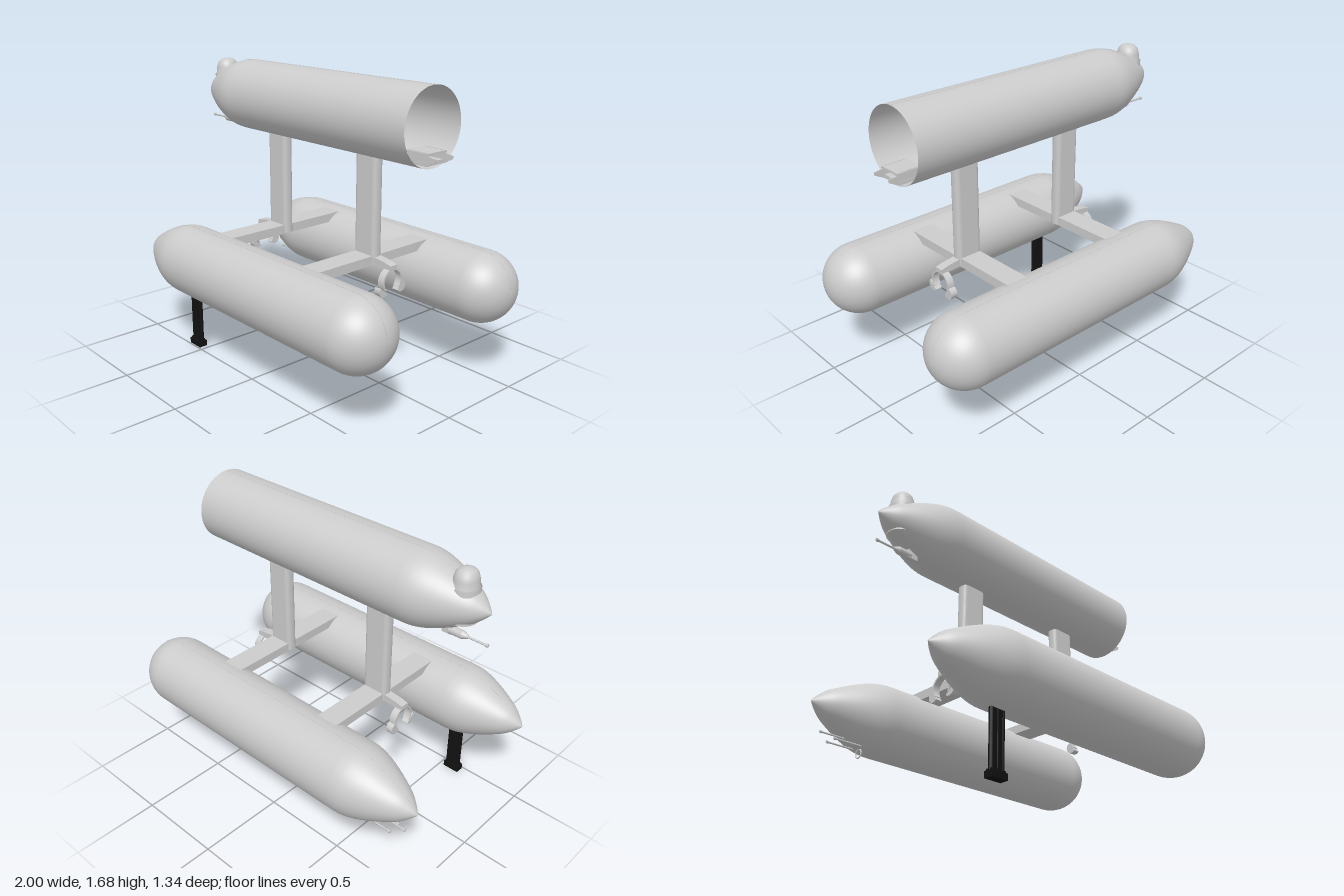
import * as THREE from 'three';

const GREY = new THREE.MeshStandardMaterial({ color: 0xcccccc, side: THREE.DoubleSide });
const BLACK = new THREE.MeshStandardMaterial({ color: 0x111111 });
const R = 0.203;
const LOW_Y = 0.542, TOP_Y = 1.473, SIDE_Z = 0.466;

function add(parent, name, geometry, x = 0, y = 0, z = 0, material = GREY) {
  const mesh = new THREE.Mesh(geometry, material);
  mesh.name = name;
  mesh.position.set(x, y, z);
  parent.add(mesh);
  return mesh;
}

// Cylinder lying along x; rBack is the radius at the -x end
function rod(rFront, rBack, length, sides = 16) {
  return new THREE.CylinderGeometry(rFront, rBack, length, sides).rotateZ(-Math.PI / 2);
}

// Hull outline as (radius, x): pointed nose, straight body, then a round or open tail
function hullProfile(openTail) {
  const nose = [[0, -1], [0.018, -0.985], [0.052, -0.95], [0.09, -0.9], [0.142, -0.8],
    [0.179, -0.71], [0.198, -0.64], [R, -0.58]].map(p => new THREE.Vector2(...p));
  const pts = new THREE.SplineCurve(nose).getPoints(28);
  pts[0].x = 0;
  if (openTail) {
    pts.push(new THREE.Vector2(R, 0.82));
  } else {
    for (let i = 0; i <= 16; i++) {
      const a = (i / 16) * Math.PI / 2;
      pts.push(new THREE.Vector2(Math.max(0, R * Math.cos(a)), 0.795 + 0.203 * Math.sin(a)));
    }
  }
  return pts;
}

function makeHull(name, y, z, openTail) {
  const hull = new THREE.Group();
  hull.name = name;
  hull.position.set(0, y, z);
  const pts = hullProfile(openTail);
  add(hull, 'hullShell', new THREE.LatheGeometry(pts, 64).rotateZ(-Math.PI / 2));
  // Fine seam along the crown
  const path = new THREE.CurvePath();
  for (let i = 1; i < pts.length; i++) {
    path.add(new THREE.LineCurve3(new THREE.Vector3(pts[i - 1].y, pts[i - 1].x, 0),
      new THREE.Vector3(pts[i].y, pts[i].x, 0)));
  }
  add(hull, 'hullSeam', new THREE.TubeGeometry(path, 90, 0.002, 5));
  return hull;
}

// Upright strut with rounded leading and trailing edges
function strutGeometry(length) {
  const a = 0.077, b = 0.032, r = 0.026;
  const s = new THREE.Shape();
  s.moveTo(-a + r, -b);
  s.lineTo(a - r, -b);
  s.quadraticCurveTo(a, -b, a, 0);
  s.quadraticCurveTo(a, b, a - r, b);
  s.lineTo(-a + r, b);
  s.quadraticCurveTo(-a, b, -a, 0);
  s.quadraticCurveTo(-a, -b, -a + r, -b);
  return new THREE.ExtrudeGeometry(s, { depth: length, bevelEnabled: false, curveSegments: 8 })
    .rotateX(-Math.PI / 2);
}

// Hanging clamp: tapered arm, open ring and two gripping pads
function makeClamp(x, dir) {
  const clamp = new THREE.Group();
  clamp.name = 'cargoClamp';
  clamp.position.x = x;
  const arm = new THREE.Shape([[-0.13, 0.735], [-0.13, 0.69], [-0.02, 0.685], [0.025, 0.685],
    [0.025, 0.712], [-0.02, 0.722]].map(([u, v]) => new THREE.Vector2(u * dir, v)));
  add(clamp, 'clampArm', new THREE.ExtrudeGeometry(arm, { depth: 0.05, bevelEnabled: false }), 0, 0, -0.025);
  const ring = new THREE.Shape();
  const a0 = -0.22 * Math.PI, a1 = 1.22 * Math.PI;
  ring.absarc(0, 0, 0.071, a0, a1, false);
  ring.absarc(0, 0, 0.061, a1, a0, true);
  const opts = { depth: 0.04, bevelEnabled: false, curveSegments: 32 };
  add(clamp, 'clampRing', new THREE.ExtrudeGeometry(ring, opts).rotateY(Math.PI / 2), -0.02, 0.622, 0);
  for (const side of [-1, 1]) {
    const pad = new THREE.Shape();
    const tilt = side > 0 ? -0.8 * Math.PI : -1.2 * Math.PI;
    const start = side > 0 ? tilt + Math.PI / 1.6 : tilt + Math.PI / 1.6;
    pad.absarc(0, 0, 0.033, side > 0 ? -Math.PI * 0.78 : Math.PI * 0.78 + 0.0,
      side > 0 ? Math.PI * 0.45 : Math.PI * 1.78, false);
    pad.closePath();
    add(clamp, 'clampPad', new THREE.ExtrudeGeometry(pad, opts).rotateY(Math.PI / 2), -0.02, 0.583, -side * 0.064);
  }
  return clamp;
}

export function createModel() {
  const model = new THREE.Group();
  model.name = 'tripleHullCraft';

  // Hulls
  const upper = makeHull('upperHull', TOP_Y, 0, true);
  model.add(upper, makeHull('leftFloat', LOW_Y, SIDE_Z, false), makeHull('rightFloat', LOW_Y, -SIDE_Z, false));
  add(upper, 'bulkhead', new THREE.CircleGeometry(0.155, 48).rotateY(Math.PI / 2), -0.69, 0.027, 0);

  // Struts, cross beams and clamps
  for (const x of [-0.34, 0.393]) {
    add(model, 'strut', strutGeometry(0.6), x, 0.69, 0);
    add(model, 'crossBeam', new THREE.BoxGeometry(0.13, 0.052, 0.88), x, 0.71, 0);
    const dir = Math.sign(x);
    model.add(makeClamp(x + dir * 0.17, dir));
  }

  // Domed turret on the nose
  const dome = [[0.077, -0.12], [0.077, 0.06], [0.068, 0.066], [0.066, 0.1], [0.058, 0.128],
    [0.042, 0.145], [0.02, 0.153], [0, 0.155]].map(p => new THREE.Vector2(...p));
  const turret = add(model, 'turret', new THREE.LatheGeometry(dome, 40), -0.848, 1.51, -0.004);
  turret.scale.x = 0.94;

  // Gun beneath the nose
  const gun = new THREE.Group();
  gun.name = 'noseGun';
  gun.position.set(0, 1.3, 0);
  add(gun, 'gunBarrel', rod(0.006, 0.006, 0.13), -0.935);
  add(gun, 'gunTip', rod(0.009, 0.009, 0.015), -0.992);
  add(gun, 'gunCollar', rod(0.022, 0.009, 0.03), -0.87);
  add(gun, 'gunBody', rod(0.022, 0.022, 0.075), -0.818);
  add(gun, 'gunMount', new THREE.BoxGeometry(0.06, 0.06, 0.03), -0.77, 0.01, 0);
  model.add(gun);

  // Loading platform at the open tail
  add(model, 'platformDeck', new THREE.BoxGeometry(0.14, 0.012, 0.14), 0.78, 1.352, 0);
  add(model, 'platformBase', new THREE.BoxGeometry(0.1, 0.02, 0.13), 0.79, 1.303, 0);
  const bracket = new THREE.Shape([[0.72, 1.3], [0.84, 1.293], [0.895, 1.322], [0.897, 1.338],
    [0.85, 1.345], [0.84, 1.36], [0.72, 1.36]].map(p => new THREE.Vector2(...p)));
  for (const z of [-0.064, 0.058]) {
    add(model, 'platformBracket', new THREE.ExtrudeGeometry(bracket, { depth: 0.006, bevelEnabled: false }), 0, 0, z);
  }

  // Landing leg under the left float
  add(model, 'legColumn', new THREE.BoxGeometry(0.082, 0.36, 0.022), -0.577, 0.19, SIDE_Z, BLACK);
  for (const x of [-0.615, -0.577, -0.539]) {
    add(model, 'legRail', new THREE.CylinderGeometry(0.013, 0.013, 0.36, 12), x * 0.9 - 0.0577, 0.19, SIDE_Z, BLACK);
  }
  add(model, 'legFoot', new THREE.BoxGeometry(0.1, 0.034, 0.05), -0.578, 0.017, SIDE_Z, BLACK);
  add(model, 'legAnkle', new THREE.BoxGeometry(0.088, 0.012, 0.036), -0.578, 0.038, SIDE_Z, BLACK);

  // Light guns and mooring ring under the right float
  const guns = [[-0.83, 0.392, 0, 0.19], [-0.775, 0.363, -0.035, 0.17], [-0.775, 0.363, 0.035, 0.17]];
  for (const [x, y, z, length] of guns) {
    add(model, 'floatGun', rod(0.005, 0.005, length, 10), x, y, z - SIDE_Z);
    add(model, 'floatGunTip', rod(0.008, 0.008, 0.012, 10), x - length / 2, y, z - SIDE_Z);
  }
  add(model, 'mooringRing', new THREE.TorusGeometry(0.024, 0.004, 8, 32).rotateY(Math.PI / 2), -0.688, 0.333, -SIDE_Z);

  return model;
}
